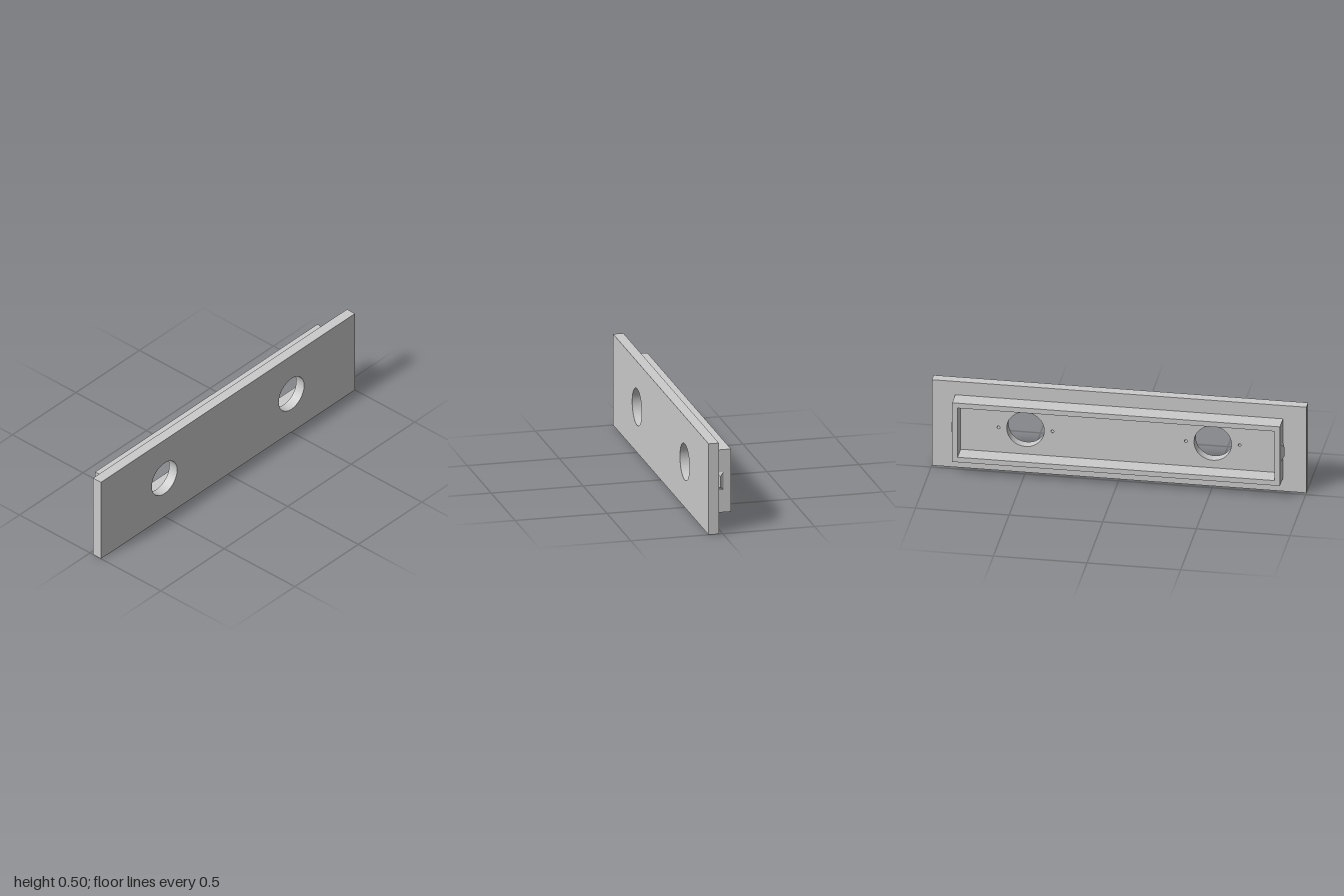
import * as THREE from 'three';

const FRONT = 0.077, MID = 0.021, BACK = -0.077; // z levels
const CY = 0.251;                                // height of the centre line
const SEG = 48;

const grey = new THREE.MeshStandardMaterial({ color: 0xcccccc });
const greyDouble = new THREE.MeshStandardMaterial({ color: 0xcccccc, side: THREE.DoubleSide });

// Half sizes of the three nested rectangles
const PLATE = [1, 0.251], OUTER = [0.875, 0.173], INNER = [0.846, 0.144];
const bores = [-0.5, 0.5].map(x => ({ x, r: 0.1 }));
const screws = bores.flatMap(b => [-0.144, 0.144].map(d => ({ x: b.x + d, r: 0.008 })));

function rect([w, h], Type = THREE.Shape) {
  return new Type([[-w, -h], [w, -h], [w, h], [-w, h]].map(p => new THREE.Vector2(...p)));
}

const round = ({ x, r }) => new THREE.Path().absarc(x, 0, r, 0, Math.PI * 2, true);

export function createModel() {
  const model = new THREE.Group();

  function add(name, geometry, material = grey, parent = model) {
    const mesh = new THREE.Mesh(geometry, material);
    mesh.name = name;
    parent.add(mesh);
    return mesh;
  }

  // Flat panel with openings, facing +z or -z
  function panel(name, size, holes, z, facesBack) {
    const shape = rect(size);
    shape.holes.push(...holes);
    const g = new THREE.ShapeGeometry(shape, SEG / 2);
    if (facesBack) g.rotateY(Math.PI);
    add(name, g.translate(0, CY, z));
  }

  // Four walls around a rectangle between two depths
  function walls(name, [w, h], z0, z1, inward) {
    const s = inward ? -1 : 1, d = z1 - z0, zc = (z0 + z1) / 2;
    const group = new THREE.Group();
    group.name = name;
    for (const k of [-1, 1]) {
      const side = new THREE.PlaneGeometry(d, 2 * h).rotateY(s * k * Math.PI / 2);
      add('endWall', side.translate(k * w, CY, zc), grey, group);
      const edge = new THREE.PlaneGeometry(2 * w, d).rotateX(-s * k * Math.PI / 2);
      add('longWall', edge.translate(0, CY + k * h, zc), grey, group);
    }
    model.add(group);
  }

  // Round hole lining between two depths
  function lining(name, { x, r }, z0, z1, segments) {
    const g = new THREE.CylinderGeometry(r, r, z1 - z0, segments, 1, true);
    add(name, g.rotateX(Math.PI / 2).translate(x, CY, (z0 + z1) / 2), greyDouble);
  }

  // Face plate
  panel('plateFront', PLATE, bores.map(round), FRONT, false);
  panel('plateBack', PLATE, [rect(OUTER, THREE.Path)], MID, true);
  walls('plateEdges', PLATE, MID, FRONT, false);

  // Raised rim on the back and the floor inside it
  walls('rimOuterWalls', OUTER, BACK, MID, false);
  panel('rimLip', OUTER, [rect(INNER, THREE.Path)], BACK, true);
  walls('rimInnerWalls', INNER, BACK, MID, true);
  panel('recessFloor', INNER, [...bores, ...screws].map(round), MID, true);

  // Through holes and blind screw holes
  bores.forEach(b => lining('throughHole', b, MID, FRONT, SEG));
  screws.forEach(s => {
    lining('screwHole', s, MID, MID + 0.03, 24);
    const end = new THREE.CircleGeometry(s.r, 24).rotateY(Math.PI);
    add('screwHoleEnd', end.translate(s.x, CY, MID + 0.03));
  });

  // Ridged snap catches on both ends of the rim
  const bump = new THREE.BufferGeometry();
  bump.setAttribute('position', new THREE.Float32BufferAttribute([
    0, -0.049, 0.021, 0, -0.049, -0.021, 0, 0.049, -0.021, 0, 0.049, 0.021,
    0.013, -0.028, 0, 0.013, 0.028, 0], 3));
  bump.setIndex([0, 1, 4, 1, 2, 5, 1, 5, 4, 2, 3, 5, 3, 0, 4, 3, 4, 5]);
  const catchGeometry = bump.toNonIndexed();
  catchGeometry.computeVertexNormals();
  for (const k of [-1, 1]) {
    const snap = add(k > 0 ? 'leftCatch' : 'rightCatch', catchGeometry);
    snap.position.set(k * OUTER[0], CY, -0.016);
    if (k < 0) snap.rotation.y = Math.PI;
  }

  return model;
}
